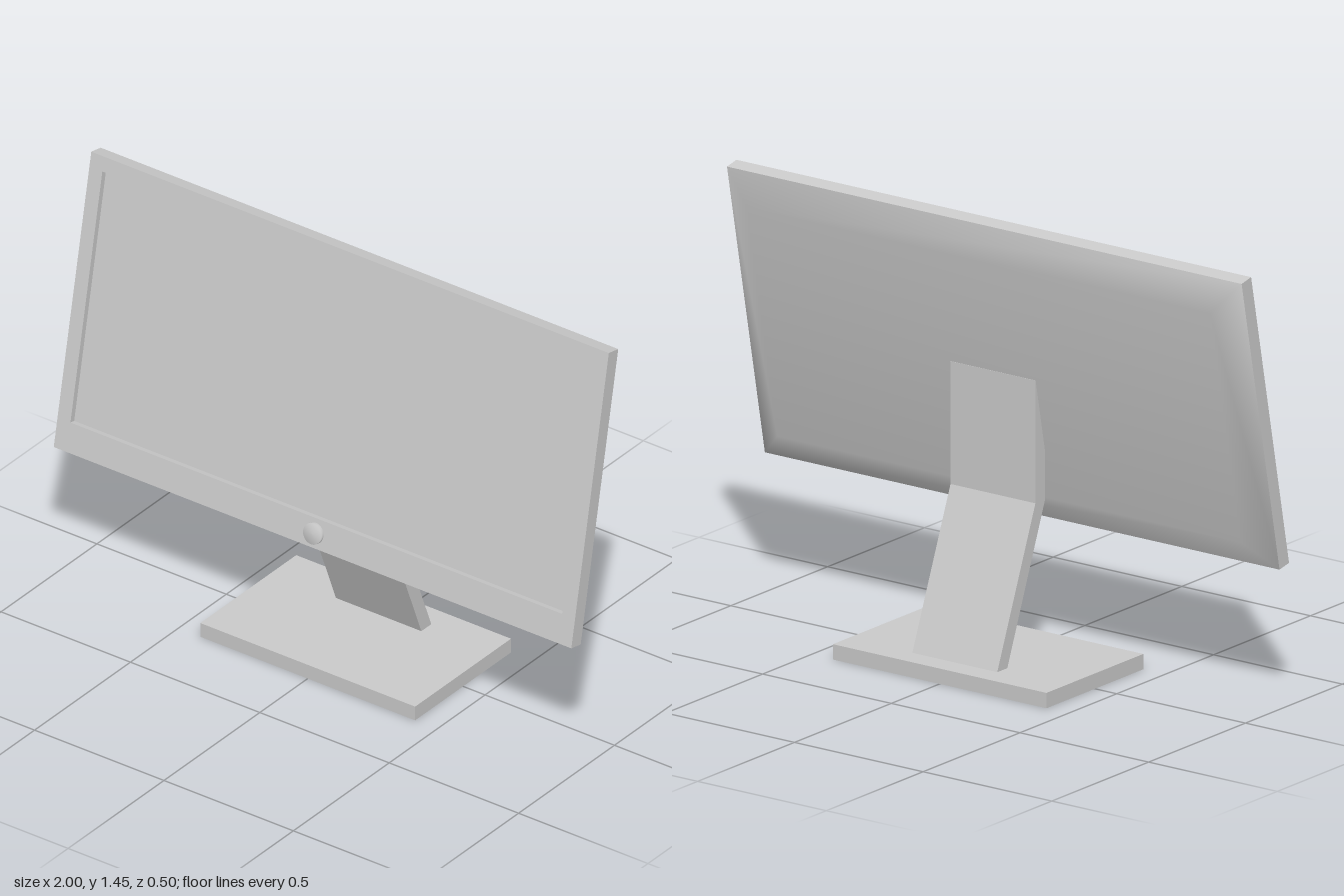
import * as THREE from 'three';

const grey = new THREE.MeshStandardMaterial({ color: 0xcccccc });

function add(parent, name, geometry, x = 0, y = 0, z = 0) {
  const mesh = new THREE.Mesh(geometry, grey);
  mesh.name = name;
  mesh.position.set(x, y, z);
  parent.add(mesh);
  return mesh;
}

// Corners of an upright rectangle, counter-clockwise
const rect = (halfWidth, bottom, top) => [
  [-halfWidth, bottom], [halfWidth, bottom], [halfWidth, top], [-halfWidth, top],
];
const toPoints = (list) => list.map(([x, y]) => new THREE.Vector2(x, y));

// Smooth shallow cover that tapers from the panel outline to a smaller back face
function backCoverGeometry(inset, depth) {
  const outer = rect(1, 0, 1).map(([x, y]) => [x, y, 0]);
  const inner = rect(1 - inset, inset, 1 - inset).map(([x, y]) => [x, y, -depth]);
  const index = [6, 5, 4, 7, 6, 4];
  for (let i = 0; i < 4; i++) {
    const j = (i + 1) % 4;
    index.push(j, i, 4 + i, j, 4 + i, 4 + j);
  }
  const geometry = new THREE.BufferGeometry();
  geometry.setAttribute('position', new THREE.Float32BufferAttribute([...outer, ...inner].flat(), 3));
  geometry.setIndex(index);
  geometry.computeVertexNormals();
  return geometry;
}

export function createModel() {
  const model = new THREE.Group();
  model.name = 'monitor';

  // Foot plate
  add(model, 'base', new THREE.BoxGeometry(0.83, 0.05, 0.5), 0, 0.025, 0);

  // Bent neck: side profile (z, y) extruded across the width
  const profile = new THREE.Shape(toPoints([
    [-0.172, 0.05], [-0.12, 0.05], [0.075, 0.55], [0.075, 0.95], [0.025, 0.95], [0.025, 0.55],
  ]));
  const neck = new THREE.ExtrudeGeometry(profile, { depth: 0.33, bevelEnabled: false });
  neck.translate(0, 0, -0.165).rotateY(-Math.PI / 2);
  add(model, 'neck', neck);

  // Display tilted back; its origin is the lower front edge
  const display = new THREE.Group();
  display.name = 'display';
  display.position.set(0, 0.465, 0.225);
  display.rotation.x = -0.197;
  model.add(display);

  // Bezel with the screen opening
  const bezel = new THREE.Shape(toPoints(rect(1, 0, 1)));
  bezel.holes.push(new THREE.Path(toPoints(rect(0.95, 0.1, 0.95))));
  add(display, 'bezel', new THREE.ExtrudeGeometry(bezel, { depth: 0.05, bevelEnabled: false }), 0, 0, -0.05);

  // Recessed screen
  add(display, 'screen', new THREE.PlaneGeometry(1.9, 0.85), 0, 0.525, -0.02);

  // Tapered back
  add(display, 'backCover', backCoverGeometry(0.1, 0.05), 0, 0, -0.05);

  // Round power button
  const button = new THREE.LatheGeometry(toPoints([[0.035, 0], [0.035, 0.012], [0, 0.013]]), 32);
  button.rotateX(Math.PI / 2);
  add(display, 'powerButton', button, 0, 0.05, 0);

  return model;
}
